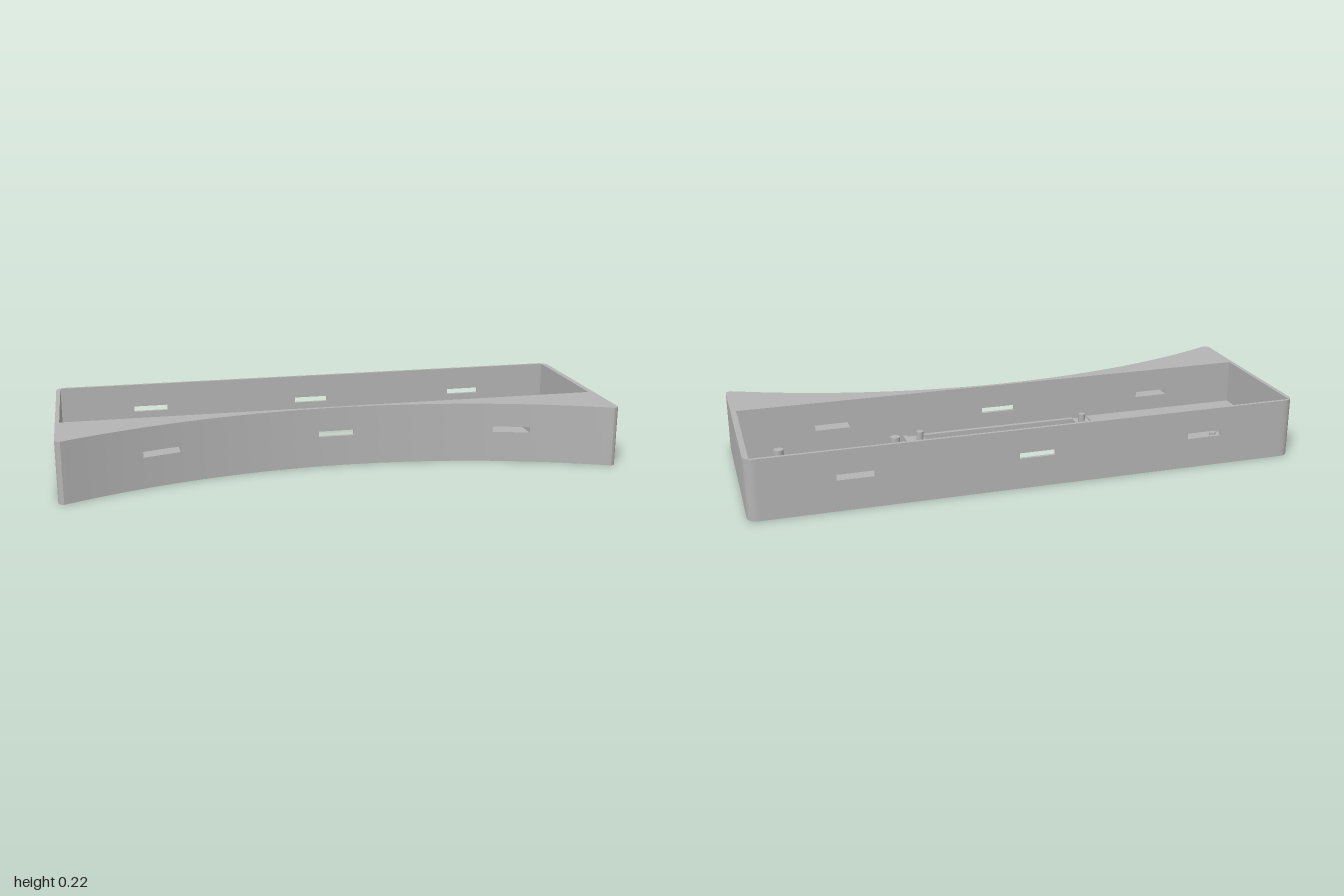
import * as THREE from 'three';
import { toCreasedNormals } from 'three/addons/utils/BufferGeometryUtils.js';

const H = 0.22;                       // overall height
const BASE = 0.028;                   // base plate thickness
const DECK = 0.055;                   // raised floor level
const CAV = { x0: -0.985, x1: 0.98, z0: -0.343, z1: 0.126 };
const SLOT = { y0: 0.112, y1: 0.133, half: 0.065, xs: [-0.643, -0.004, 0.636] };

const grey = new THREE.MeshStandardMaterial({ color: 0xb4b4b4 });
grey.name = 'grey plastic';

// Concave front edge with small rounded tips
function frontZ(x) {
  const a = Math.abs(x), R = 2.341;
  if (a > 0.98) return 0.335 + 0.02 * Math.sqrt(Math.max(0, 1 - ((a - 0.98) / 0.02) ** 2));
  return 0.14 + R - Math.sqrt(R * R - x * x);
}

// Straight back edge with rounded corners
function backZ(x) {
  const t = Math.max(0, (Math.abs(x) - 0.965) / 0.035);
  return -0.355 + 0.035 * (1 - Math.sqrt(Math.max(0, 1 - t * t)));
}

// Plan shape between two edge curves over a range of x
function band(x0, x1, zBack, zFront) {
  const xs = [x0];
  for (let i = 1; i < 64; i++) {
    const x = -Math.cos((Math.PI * i) / 64);
    if (x > x0 + 0.0005 && x < x1 - 0.0005) xs.push(x);
  }
  xs.push(x1);
  const front = xs.map((x) => new THREE.Vector2(x, -zFront(x)));
  const back = xs.map((x) => new THREE.Vector2(x, -zBack(x))).reverse();
  return new THREE.Shape([...front, ...back]);
}

function rect(x0, x1, z0, z1, Type = THREE.Shape) {
  return new Type([[x0, z1], [x1, z1], [x1, z0], [x0, z0]].map(([x, z]) => new THREE.Vector2(x, -z)));
}

function circle(x, z, r) {
  const p = new THREE.Path();
  p.absarc(x, -z, r, 0, Math.PI * 2, true);
  return p;
}

export function createModel() {
  const group = new THREE.Group();
  group.name = 'enclosure';

  function add(name, geometry) {
    const mesh = new THREE.Mesh(geometry, grey);
    mesh.name = name;
    group.add(mesh);
    return mesh;
  }

  // Raise a plan shape from y0 to y1
  function slab(name, shape, y0, y1) {
    const g = new THREE.ExtrudeGeometry(shape, { depth: y1 - y0, bevelEnabled: false, curveSegments: 24 });
    g.rotateX(-Math.PI / 2).translate(0, y0, 0);
    add(name, toCreasedNormals(g, 0.5));
  }

  function block(name, x0, x1, z0, z1, y0, y1) {
    const g = new THREE.BoxGeometry(x1 - x0, y1 - y0, z1 - z0);
    add(name, g).position.set((x0 + x1) / 2, (y0 + y1) / 2, (z0 + z1) / 2);
  }

  function post(name, x, z, r, y0, y1) {
    add(name, new THREE.CylinderGeometry(r, r, y1 - y0, 24)).position.set(x, (y0 + y1) / 2, z);
  }

  // Base plate with the display window and round opening
  const base = band(-1, 1, backZ, frontZ);
  base.holes.push(rect(-0.249, 0.27, -0.307, 0.088, THREE.Path), circle(-0.845, -0.108, 0.05));
  slab('basePlate', base, 0, BASE);

  // Walls below and above the slots
  for (const [name, y0, y1] of [['lowerWall', BASE, SLOT.y0], ['upperWall', SLOT.y1, H]]) {
    const ring = band(-1, 1, backZ, frontZ);
    ring.holes.push(rect(CAV.x0, CAV.x1, CAV.z0, CAV.z1, THREE.Path));
    slab(name, ring, y0, y1);
  }

  // Wall pieces between the slots, front and back
  const cuts = [CAV.x0];
  SLOT.xs.forEach((x) => cuts.push(x - SLOT.half, x + SLOT.half));
  cuts.push(CAV.x1);
  for (let i = 0; i < cuts.length; i += 2) {
    slab('frontWallPiece', band(cuts[i], cuts[i + 1], () => CAV.z1, frontZ), SLOT.y0, SLOT.y1);
    slab('backWallPiece', band(cuts[i], cuts[i + 1], backZ, () => CAV.z0), SLOT.y0, SLOT.y1);
  }
  slab('rightEndWall', band(-1, CAV.x0, backZ, frontZ), SLOT.y0, SLOT.y1);
  slab('leftEndWall', band(CAV.x1, 1, backZ, frontZ), SLOT.y0, SLOT.y1);

  // Raised floor with a square pocket around the round opening
  const deck = rect(CAV.x0, -0.366, CAV.z0, CAV.z1);
  deck.holes.push(rect(-0.922, -0.767, -0.188, -0.028, THREE.Path));
  slab('raisedFloor', deck, BASE, DECK);
  for (const x of [-0.942, -0.749]) {
    for (const z of [-0.216, -0.049]) post('pocketPin', x, z, 0.012, DECK, 0.07);
  }

  // Display frame: ledges, side strips, corner pads with pins, and a rib
  block('backLedge', -0.307, 0.297, CAV.z0, -0.328, BASE, DECK);
  block('frontLedge', -0.307, 0.297, 0.11, CAV.z1, BASE, DECK);
  block('frameRib', 0.356, 0.372, CAV.z0, CAV.z1, BASE, DECK);
  for (const [x0, x1, px] of [[-0.366, -0.307, -0.33], [0.297, 0.356, 0.318]]) {
    block('sideStrip', x0, x1, -0.238, 0.02, BASE, 0.036);
    block('cornerPad', x0, x1, CAV.z0, -0.238, BASE, 0.05);
    block('cornerPad', x0, x1, 0.02, CAV.z1, BASE, 0.05);
    for (const z of [-0.291, 0.078]) post('displayPin', px, z, 0.013, 0.05, 0.085);
  }

  // Stepped standoffs for the circuit board
  for (const x of [0.422, 0.849]) {
    for (const z of [-0.249, 0.032]) {
      post('standoffBase', x, z, 0.036, BASE, 0.055);
      post('standoffPin', x, z, 0.018, 0.055, 0.092);
    }
  }
  return group;
}
